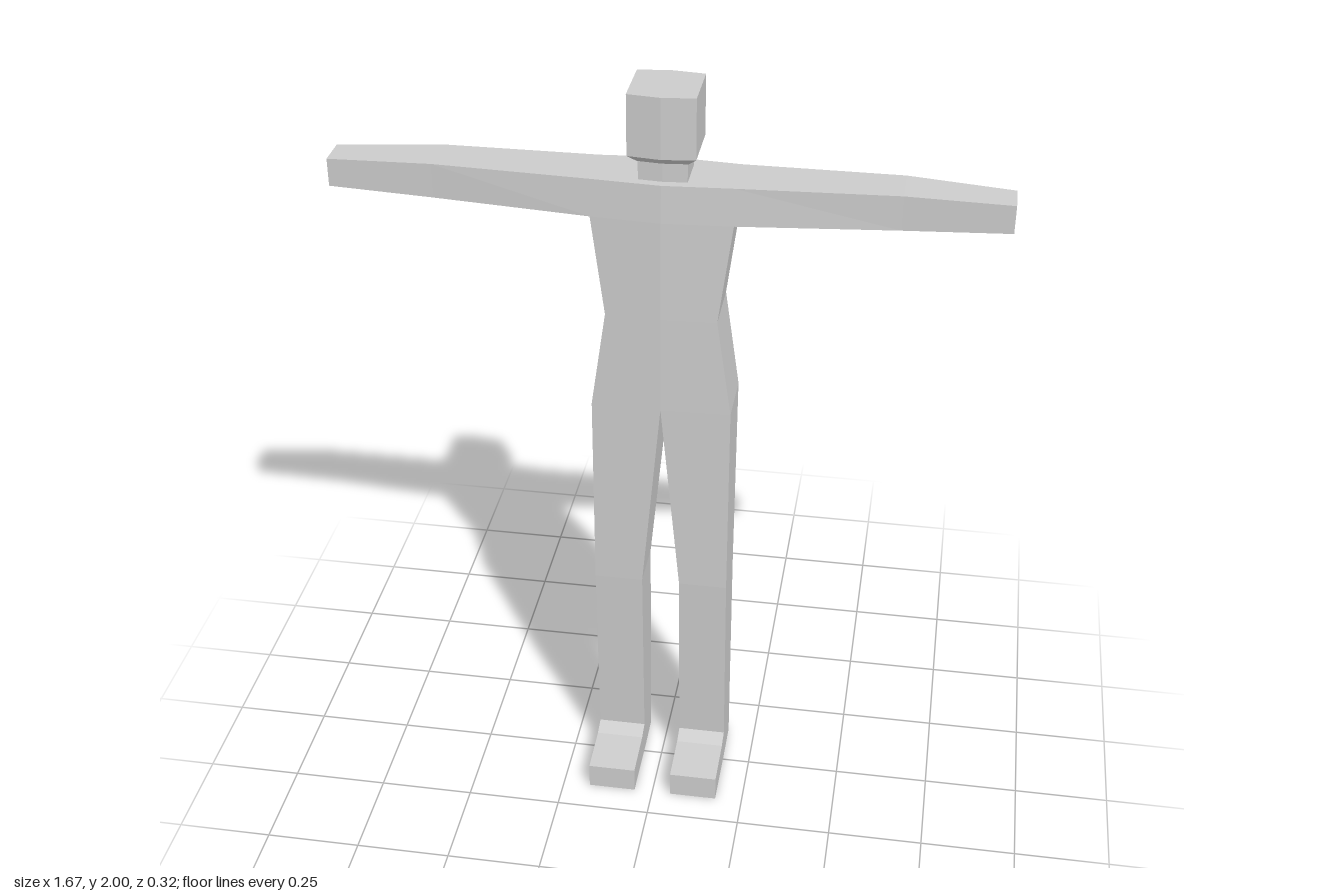
import * as THREE from 'three';

const grey = new THREE.MeshStandardMaterial({ color: 0xcccccc, flatShading: true });

// Skin a list of equal-length rings and close both ends with fans.
function loft(name, rings) {
  const n = rings[0].length, index = [];
  for (let i = 0; i < rings.length - 1; i++) {
    for (let j = 0; j < n; j++) {
      const k = (j + 1) % n, a = i * n, b = a + n;
      index.push(a + j, a + k, b + k, a + j, b + k, b + j);
    }
  }
  const last = (rings.length - 1) * n;
  for (let j = 1; j < n - 1; j++) {
    index.push(0, j + 1, j, last, last + j, last + j + 1);
  }
  const indexed = new THREE.BufferGeometry();
  indexed.setAttribute('position', new THREE.Float32BufferAttribute(rings.flat(2), 3));
  indexed.setIndex(index);
  const geometry = indexed.toNonIndexed();
  geometry.computeVertexNormals();
  const mesh = new THREE.Mesh(geometry, grey);
  mesh.name = name;
  return mesh;
}

// Six-sided horizontal ring with a ridge down the middle of front and back.
const ridgedRing = ([y, w, front, frontMid, back, backMid]) => [
  [w, y, front], [w, y, back], [0, y, backMid],
  [-w, y, back], [-w, y, front], [0, y, frontMid],
];

// Four-cornered vertical ring across an arm.
const armRing = ([x, bottom, top, frontLow, frontHigh, backLow, backHigh]) => [
  [x, top, backHigh], [x, top, frontHigh], [x, bottom, frontLow], [x, bottom, backLow],
];

export function createModel() {
  const body = new THREE.Group();
  body.name = 'body';

  // Head with tapered jaw, and neck
  body.add(loft('head', [
    [1.825, 0.062, -0.014, -0.008, -0.122, -0.13],
    [1.845, 0.083, 0.006, 0.016, -0.146, -0.155],
    [2.0, 0.083, 0.006, 0.016, -0.146, -0.155],
  ].map(ridgedRing)));
  body.add(loft('neck', [
    [1.77, 0.06, -0.016, -0.011, -0.115, -0.121],
    [1.826, 0.06, -0.016, -0.011, -0.115, -0.121],
  ].map(ridgedRing)));

  // Torso from hips through waist to chest
  body.add(loft('torso', [
    [1.16, 0.178, 0.014, 0.02, -0.146, -0.156],
    [1.42, 0.14, 0.012, 0.019, -0.152, -0.16],
    [1.68, 0.175, 0.004, 0.016, -0.146, -0.16],
  ].map(ridgedRing)));

  // Shoulders and both arms as one span
  const half = [
    [0, 1.68, 1.777, 0.016, 0.012, -0.16, -0.154],
    [0.175, 1.68, 1.777, 0.004, 0, -0.146, -0.14],
    [0.57, 1.686, 1.775, -0.026, -0.026, -0.143, -0.143],
    [0.833, 1.696, 1.768, -0.03, -0.03, -0.115, -0.115],
  ];
  const mirrored = half.slice(1).reverse().map(([x, ...rest]) => [-x, ...rest]);
  body.add(loft('shouldersAndArms', [...mirrored, ...half].map(armRing)));

  for (const [side, s] of [['left', 1], ['right', -1]]) {
    // Leg: height, inner x, outer x, front inner/outer z, back inner/outer z
    const legRings = [
      [0.095, 0.05, 0.177, -0.005, -0.005, -0.12, -0.12],
      [0.62, 0.05, 0.177, 0.018, 0.018, -0.121, -0.121],
      [1.16, 0, 0.178, 0.02, 0.014, -0.156, -0.146],
    ].map(([y, xi, xo, fi, fo, bi, bo]) => {
      const ring = [[s * xo, y, fo], [s * xo, y, bo], [s * xi, y, bi], [s * xi, y, fi]];
      return s > 0 ? ring : ring.reverse();
    });
    body.add(loft(side + 'Leg', legRings));

    // Foot: side profile (z, y) spanned across its width
    const profile = [
      [0.035, 0.08], [0.165, 0.07], [0.165, 0], [-0.03, 0.003],
      [-0.12, 0.01], [-0.12, 0.095], [-0.005, 0.095],
    ];
    const widths = s > 0 ? [0.05, 0.177] : [-0.177, -0.05];
    body.add(loft(side + 'Foot', widths.map((x) => profile.map(([z, y]) => [x, y, z]))));
  }
  return body;
}
